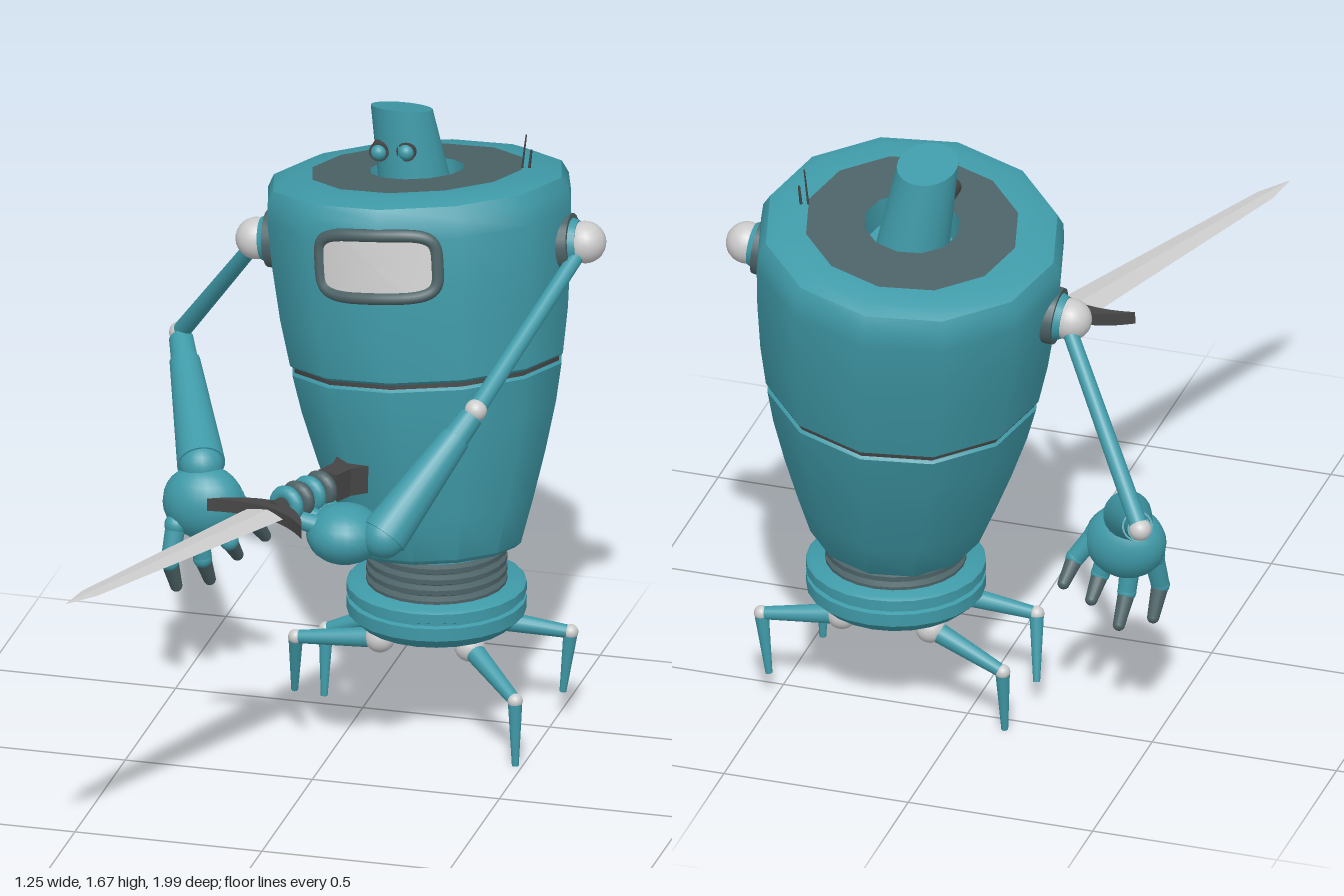
import * as THREE from 'three';
import { toCreasedNormals } from 'three/addons/utils/BufferGeometryUtils.js';

const V = (x, y, z) => new THREE.Vector3(x, y, z);
const UP = V(0, 1, 0);

export function createModel() {
  const model = new THREE.Group();
  const paint = (color, side = THREE.FrontSide) => new THREE.MeshStandardMaterial({ color, side });
  const teal = paint(0x3f9aa8), grey = paint(0xcccccc), dark = paint(0x4c6266), black = paint(0x454545);
  const pale = paint(0xcccccc, THREE.DoubleSide);

  function add(parent, name, geometry, material, pos = V(0, 0, 0)) {
    const mesh = new THREE.Mesh(geometry, material);
    mesh.name = name;
    mesh.position.copy(pos);
    parent.add(mesh);
    return mesh;
  }
  const ball = (parent, name, pos, r, mat = grey) => add(parent, name, new THREE.SphereGeometry(r, 20, 14), mat, pos);
  // Tapered rod between two points
  function limb(parent, name, a, b, ra, rb, mat = teal, sides = 16) {
    const d = b.clone().sub(a);
    const mesh = add(parent, name, new THREE.CylinderGeometry(rb, ra, d.length(), sides), mat, a.clone().lerp(b, 0.5));
    mesh.quaternion.setFromUnitVectors(UP, d.normalize());
    return mesh;
  }
  function lathe(parent, name, profile, mat, sides, pos) {
    const g = new THREE.LatheGeometry(profile.map(([r, y]) => new THREE.Vector2(r, y)), sides);
    return add(parent, name, toCreasedNormals(g, 0.7), mat, pos);
  }
  function group(parent, name) {
    const g = new THREE.Group();
    g.name = name;
    parent.add(g);
    return g;
  }

  // Leaning barrel body, built upright in its own frame
  const body = group(model, 'body');
  body.position.set(0.21, 0.495, -0.455);
  body.quaternion.setFromUnitVectors(UP, V(-0.092, 0.985, -0.148).normalize());
  lathe(body, 'lowerShell', [[0, 0], [0.21, 0], [0.226, 0.012], [0.265, 0.13], [0.305, 0.26], [0.34, 0.39],
    [0.36, 0.49], [0.352, 0.499]], teal, 12);
  lathe(body, 'seam', [[0.353, 0.48], [0.354, 0.53]], black, 12);
  lathe(body, 'upperShell', [[0.354, 0.509], [0.365, 0.517], [0.385, 0.64], [0.399, 0.78], [0.406, 0.9], [0.402, 0.95],
    [0.385, 0.982], [0.345, 0.998], [0.28, 1.002]], teal, 12);
  lathe(body, 'topRing', [[0.28, 1.002], [0.125, 1.002]], dark, 12);
  lathe(body, 'topWell', [[0.125, 1.002], [0.12, 0.92], [0, 0.92]], teal, 12);

  // Rounded window bent around the shell
  const bend = (a, s, r) => {
    const pw = v => Math.sign(v) * Math.pow(Math.abs(v), 0.45);
    const x = 0.16 * s * pw(Math.cos(a)), y = 0.083 * s * pw(Math.sin(a));
    return V(r * Math.sin((x - 0.01) / 0.4), 0.835 + y, r * Math.cos((x - 0.01) / 0.4));
  };
  const pane = new THREE.RingGeometry(0, 1, 40, 5);
  const pp = pane.attributes.position;
  for (let i = 0; i < pp.count; i++) {
    const s = Math.hypot(pp.getX(i), pp.getY(i));
    const p = bend(Math.atan2(pp.getY(i), pp.getX(i)), s, 0.411);
    pp.setXYZ(i, p.x, p.y, p.z);
  }
  pane.computeVertexNormals();
  add(body, 'windowPane', pane, pale);
  const rim = Array.from({ length: 48 }, (_, i) => bend(i / 48 * Math.PI * 2, 1, 0.404));
  add(body, 'windowFrame', new THREE.TubeGeometry(new THREE.CatmullRomCurve3(rim, true), 96, 0.017, 8, true), dark);

  // Shoulder sockets
  for (const s of [1, -1]) {
    limb(body, 'shoulderPlate', V(s * 0.35, 0.812, 0), V(s * 0.408, 0.812, 0), 0.078, 0.075, dark, 20);
    limb(body, 'shoulderCollar', V(s * 0.4, 0.812, 0), V(s * 0.425, 0.812, 0), 0.066, 0.056, teal, 20);
    ball(body, 'shoulderBall', V(s * 0.44, 0.812, 0), 0.055);
  }

  // Periscope head with slanted top and two eyes
  const scope = new THREE.CylinderGeometry(0.08, 0.096, 0.24, 20);
  const sp = scope.attributes.position;
  for (let i = 0; i < sp.count; i++) {
    if (sp.getY(i) > 0) sp.setXYZ(i, sp.getX(i) - 0.038, sp.getY(i) + 0.26 * sp.getZ(i) - 0.02 * sp.getX(i), sp.getZ(i) + 0.01);
  }
  add(model, 'periscope', toCreasedNormals(scope, 0.7), teal, V(0.118, 1.535, -0.6));
  for (const [x, y] of [[0.04, 1.556], [0.113, 1.564]]) {
    limb(model, 'eyeRim', V(x, y, -0.56), V(x, y, -0.508), 0.026, 0.026, black);
    ball(model, 'eye', V(x, y, -0.511), 0.021, teal);
  }
  // Thin aerial
  limb(model, 'aerial', V(0.392, 1.5, -0.625), V(0.405, 1.6, -0.62), 0.003, 0.002, black, 6);
  limb(model, 'aerialStub', V(0.41, 1.5, -0.63), V(0.416, 1.555, -0.63), 0.004, 0.003, black, 6);

  // Ribbed waist and base
  const ribs = [[0.17, 0.38]];
  for (let i = 0; i < 4; i++) {
    const y = 0.395 + i * 0.03;
    ribs.push([0.168, y], [0.183, y + 0.007], [0.183, y + 0.02], [0.168, y + 0.028]);
  }
  lathe(model, 'ribbedWaist', ribs, dark, 24, V(0.21, 0, -0.455));
  lathe(model, 'base', [[0, 0.27], [0.14, 0.272], [0.2, 0.295], [0.232, 0.325], [0.233, 0.36], [0.222, 0.364], [0.222, 0.37],
    [0.233, 0.375], [0.233, 0.4], [0.222, 0.407], [0, 0.407]], teal, 24, V(0.21, 0, -0.453));

  // Four legs: hip, knee, foot
  const legs = [
    [V(0.325, 0.268, -0.355), V(0.48, 0.182, -0.23), V(0.482, 0.004, -0.225)],
    [V(0.085, 0.268, -0.355), V(-0.14, 0.245, -0.355), V(-0.157, 0.075, -0.408)],
    [V(0.085, 0.268, -0.55), V(-0.117, 0.182, -0.57), V(-0.117, 0.004, -0.552)],
    [V(0.325, 0.268, -0.55), V(0.537, 0.245, -0.57), V(0.515, 0.075, -0.575)],
  ];
  for (const [hip, knee, foot] of legs) {
    const leg = group(model, 'leg');
    ball(leg, 'hip', hip, 0.04);
    limb(leg, 'thigh', hip, knee, 0.028, 0.017);
    ball(leg, 'knee', knee, 0.02);
    limb(leg, 'shin', knee, foot, 0.019, 0.009);
  }

  // Arms: thin upper rod, flared forearm, cuff and palm
  function arm(name, shoulder, elbow, wrist, palm, size) {
    const g = group(model, name);
    limb(g, 'upperArm', shoulder, elbow, 0.02, 0.024);
    ball(g, 'elbow', elbow, 0.029);
    limb(g, 'elbowSleeve', elbow.clone().lerp(wrist, 0.05), elbow.clone().lerp(wrist, 0.24), 0.032, 0.036);
    limb(g, 'forearm', elbow.clone().lerp(wrist, 0.22), wrist, 0.04, 0.063, teal, 20);
    ball(g, 'wrist', wrist, 0.058, teal);
    ball(g, 'palm', palm, 1, teal).scale.copy(size);
    return g;
  }
  const swordArm = arm('leftArm', V(0.575, 1.335, -0.585), V(0.406, 1.033, -0.115), V(0.225, 0.757, 0.125),
    V(0.115, 0.745, 0.105), V(0.1, 0.078, 0.1));
  const freeArm = arm('rightArm', V(-0.298, 1.25, -0.59), V(-0.588, 0.84, -0.872), V(-0.425, 0.648, -0.475),
    V(-0.412, 0.555, -0.45), V(0.108, 0.1, 0.082));

  // Hanging fingers with dark tips
  const fingers = [
    [V(-0.475, 0.5, -0.41), V(-0.485, 0.405, -0.385), V(-0.477, 0.325, -0.42)],
    [V(-0.42, 0.49, -0.43), V(-0.412, 0.4, -0.44), V(-0.405, 0.325, -0.485)],
    [V(-0.36, 0.5, -0.45), V(-0.345, 0.45, -0.455), V(-0.335, 0.395, -0.5)],
    [V(-0.335, 0.57, -0.46), V(-0.285, 0.5, -0.48), V(-0.268, 0.445, -0.525)],
  ];
  for (const [a, b, c] of fingers) {
    ball(freeArm, 'knuckle', a, 0.03, teal);
    limb(freeArm, 'finger', a, b, 0.027, 0.024);
    ball(freeArm, 'fingerJoint', b, 0.025, teal);
    limb(freeArm, 'fingerTip', b, c, 0.023, 0.016, dark);
    ball(freeArm, 'fingerEnd', c, 0.016, dark);
  }

  // Sword, blade running along its own y axis
  const sword = group(model, 'sword');
  const guardPos = V(-0.05, 0.83, 0.2);
  const dir = V(-0.39, 0.852, 1).sub(guardPos);
  const length = dir.length();
  dir.normalize();
  const side = UP.clone().cross(dir).normalize();
  sword.quaternion.setFromRotationMatrix(new THREE.Matrix4().makeBasis(side, dir, side.clone().cross(dir)));
  sword.position.copy(guardPos);
  // Blade as a flattened diamond section
  const blade = new THREE.CylinderGeometry(0.026, 0.06, length - 0.1, 4).toNonIndexed();
  blade.translate(0, (length - 0.1) / 2, 0).scale(1, 1, 0.16);
  blade.computeVertexNormals();
  add(sword, 'blade', blade, grey);
  const point = new THREE.ConeGeometry(0.026, 0.1, 4).toNonIndexed();
  point.translate(0, length - 0.05, 0).scale(1, 1, 0.16);
  point.computeVertexNormals();
  add(sword, 'bladePoint', point, grey);
  const guard = new THREE.Shape();
  guard.moveTo(-0.155, 0.08);
  guard.quadraticCurveTo(-0.09, -0.01, 0, -0.025);
  guard.quadraticCurveTo(0.09, -0.01, 0.155, 0.08);
  guard.quadraticCurveTo(0.08, 0.03, 0, 0.025);
  guard.quadraticCurveTo(-0.08, 0.03, -0.155, 0.08);
  add(sword, 'guard', new THREE.ExtrudeGeometry(guard, { depth: 0.034, bevelEnabled: false, curveSegments: 8 }), black, V(0, 0, -0.017));
  limb(sword, 'grip', V(0, -0.27, 0), V(0, 0, 0), 0.022, 0.024, black, 12);
  const tail = new THREE.Shape();
  [[-0.03, 0], [0.03, 0], [0.03, -0.06], [0.052, -0.105], [0, -0.085], [-0.052, -0.105], [-0.03, -0.06]]
    .forEach(([x, y], i) => (i ? tail.lineTo(x, y) : tail.moveTo(x, y)));
  add(sword, 'pommel', new THREE.ExtrudeGeometry(tail, { depth: 0.075, bevelEnabled: false }), black, V(0, -0.225, -0.0375));

  // Fingers wrapped around the grip
  for (let i = 0; i < 4; i++) {
    const t = 0.055 + i * 0.047;
    add(sword, 'fingerWrap', new THREE.TorusGeometry(0.032, 0.019, 10, 20).rotateX(Math.PI / 2), i % 2 ? dark : teal, V(0, -t, 0));
    const p = guardPos.clone().addScaledVector(dir, -t);
    limb(swordArm, 'finger', V(0.1, 0.755, 0.06 + p.z * 0.4), p.add(V(0.015, -0.035, 0)), 0.03, 0.022);
  }
  return model;
}
